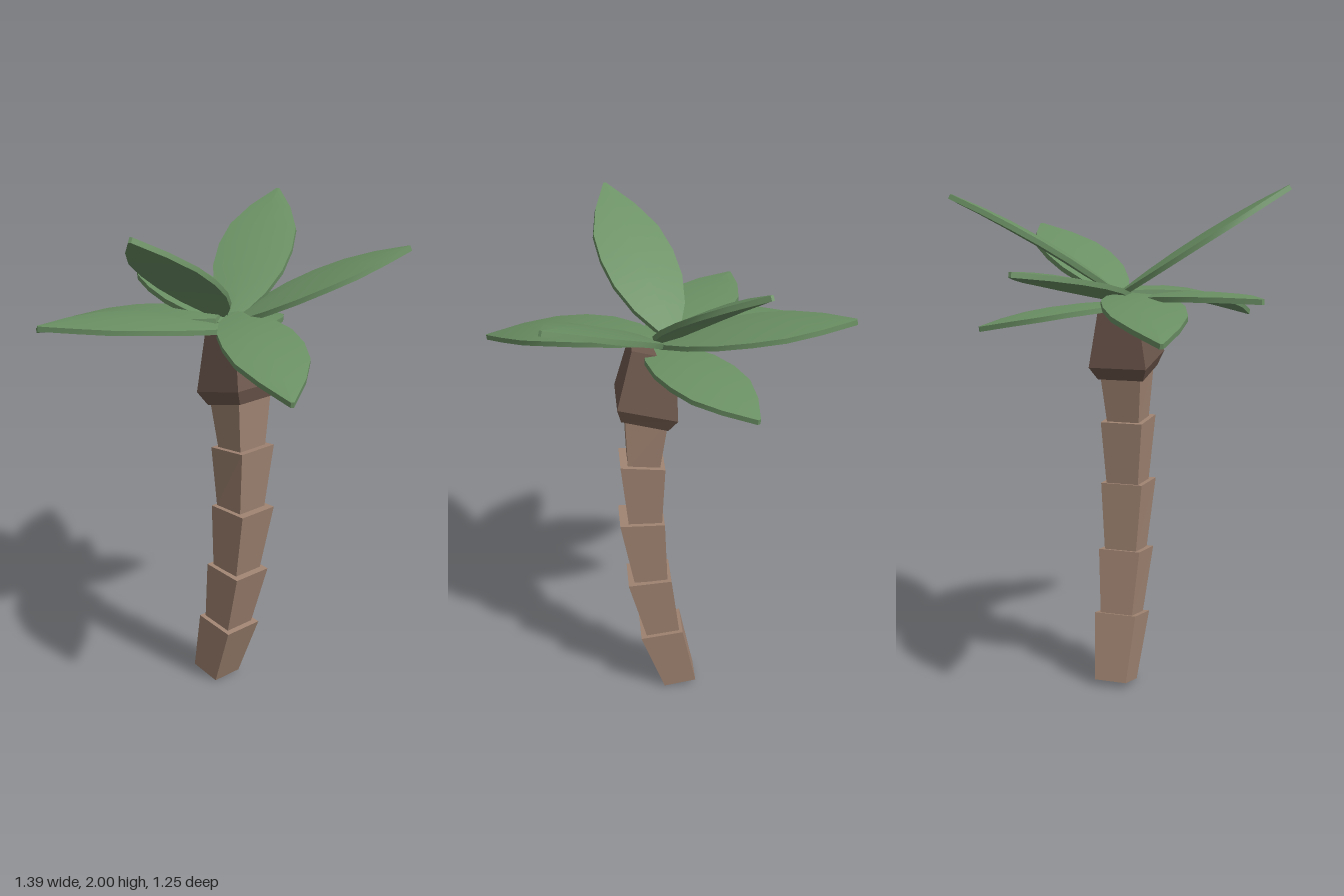
import * as THREE from 'three';

const Z0 = -0.037; // trunk centre line in z

// Square loft: each ring is [leftX, leftY, rightX, rightY, halfDepth], bottom to top
function loft(name, rings, material) {
  const n = rings.length - 1;
  const box = new THREE.BoxGeometry(1, 1, 1, 1, n, 1);
  const p = box.attributes.position;
  for (let i = 0; i < p.count; i++) {
    const r = rings[Math.round((p.getY(i) + 0.5) * n)];
    const k = p.getX(i) < 0 ? 0 : 2;
    p.setXYZ(i, r[k], r[k + 1], Z0 + Math.sign(p.getZ(i)) * r[4]);
  }
  const geo = box.toNonIndexed();
  geo.computeVertexNormals();
  const mesh = new THREE.Mesh(geo, material);
  mesh.name = name;
  return mesh;
}

// Half width of a frond at seven even stations from root to tip
const WIDTHS = [0.035, 0.105, 0.143, 0.152, 0.138, 0.085, 0.006];

// Thin pointed blade, bowed along its length and slightly arched across
function frond(root, tip, bow, material) {
  const n = WIDTHS.length - 1;
  const geo = new THREE.BoxGeometry(1, 1, 1, 2, 1, n);
  const along = tip.clone().sub(root);
  const side = new THREE.Vector3(along.z, 0, -along.x).normalize();
  const up = along.clone().normalize().cross(side);
  const p = geo.attributes.position;
  const v = new THREE.Vector3();
  for (let i = 0; i < p.count; i++) {
    const t = p.getZ(i) + 0.5;
    const across = p.getX(i) * 2;
    const w = WIDTHS[Math.round(t * n)];
    const lift = bow * 4 * t * (1 - t) + p.getY(i) * 0.02 - 0.1 * w * across * across;
    v.copy(root).addScaledVector(along, t)
      .addScaledVector(side, across * w)
      .addScaledVector(up, lift);
    p.setXYZ(i, v.x, v.y, v.z);
  }
  geo.computeVertexNormals();
  const mesh = new THREE.Mesh(geo, material);
  mesh.name = 'frond';
  return mesh;
}

export function createModel() {
  const palm = new THREE.Group();
  palm.name = 'palmTree';
  const bark = new THREE.MeshStandardMaterial({ color: 0xa08472 });
  const darkBark = new THREE.MeshStandardMaterial({ color: 0x6e584d });
  const green = new THREE.MeshStandardMaterial({ color: 0x6b9064 });

  // Trunk: stacked flaring blocks that follow a bend
  const trunk = new THREE.Group();
  trunk.name = 'trunk';
  const segments = [
    [[-0.12, 0.025, 0.012, 0.0], [-0.062, 0.29, 0.11, 0.265]],
    [[-0.05, 0.28, 0.085, 0.262], [-0.015, 0.545, 0.16, 0.53]],
    [[0.0, 0.54, 0.135, 0.535], [0.012, 0.815, 0.19, 0.815]],
    [[0.022, 0.81, 0.155, 0.81], [0.01, 1.065, 0.185, 1.08]],
    [[0.03, 1.06, 0.155, 1.07], [-0.002, 1.28, 0.165, 1.31]],
  ];
  for (const [low, high] of segments) {
    trunk.add(loft('trunkSegment', [[...low, 0.067], [...high, 0.087]], bark));
  }
  palm.add(trunk);

  // Dark head of the trunk with a bevelled lower edge
  palm.add(loft('trunkHead', [
    [0.0, 1.24, 0.18, 1.285, 0.095],
    [-0.036, 1.29, 0.195, 1.345, 0.12],
    [-0.03, 1.53, 0.135, 1.57, 0.08],
  ], darkBark));

  // Fronds: root, tip and bow
  const crown = new THREE.Group();
  crown.name = 'fronds';
  const fronds = [
    [[0.02, 1.58, -0.05], [-0.30, 1.96, -0.62], 0.03],
    [[0.04, 1.57, -0.05], [0.46, 1.84, -0.57], 0.03],
    [[0.03, 1.59, -0.07], [0.69, 1.47, 0.305], 0.05],
    [[-0.02, 1.59, -0.02], [0.20, 1.995, 0.59], 0.02],
    [[0.04, 1.54, -0.05], [-0.32, 1.59, 0.62], 0.035],
    [[0.0, 1.58, 0.0], [-0.69, 1.46, 0.365], 0.05],
    [[0.03, 1.56, -0.02], [-0.69, 1.69, -0.19], 0.025],
    [[0.06, 1.54, 0.0], [-0.29, 1.455, -0.51], 0.03],
  ];
  for (const [root, tip, bow] of fronds) {
    crown.add(frond(new THREE.Vector3(...root), new THREE.Vector3(...tip), bow, green));
  }
  palm.add(crown);
  return palm;
}
